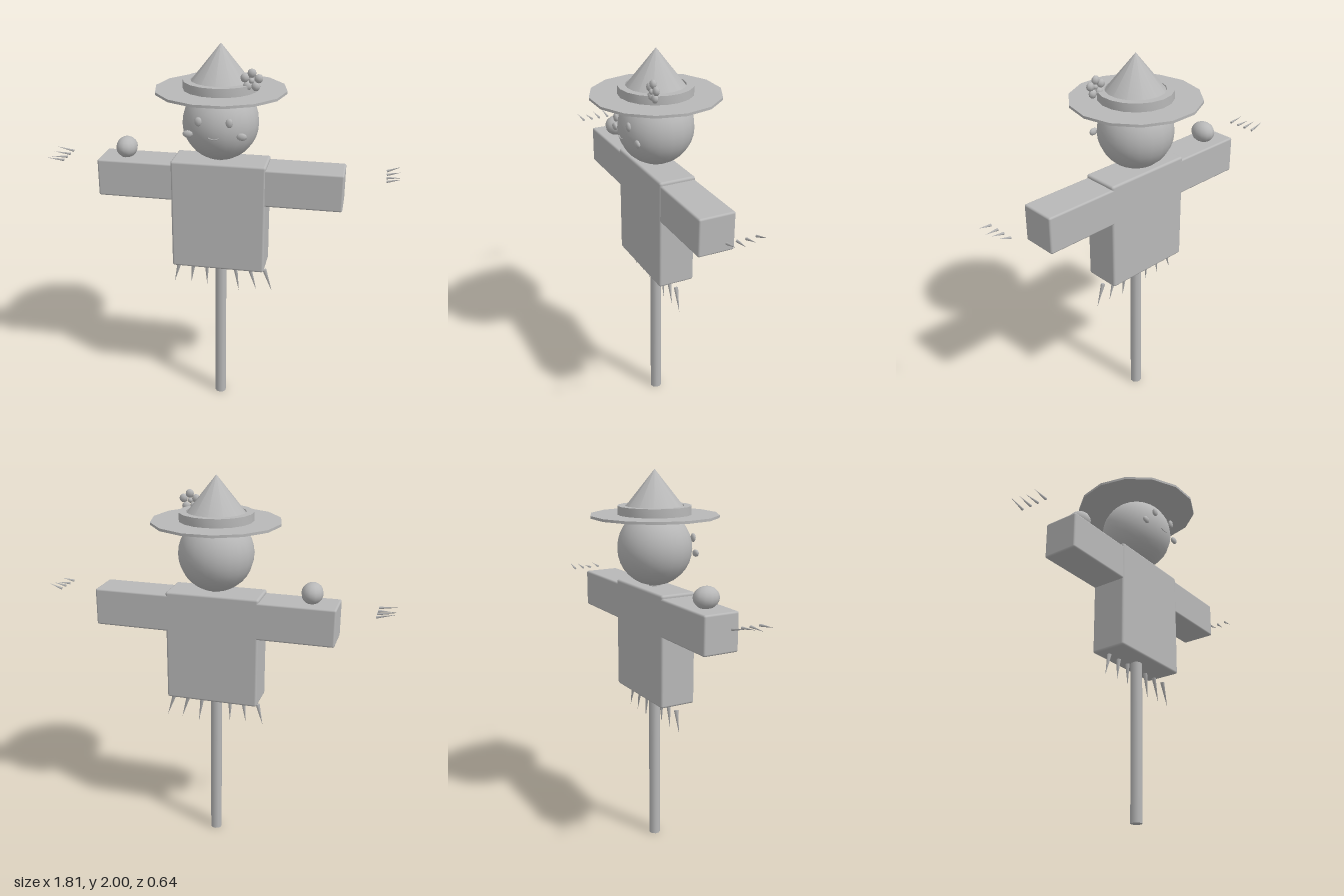
import * as THREE from 'three';
import { RoundedBoxGeometry } from 'three/addons/geometries/RoundedBoxGeometry.js';
import { toCreasedNormals } from 'three/addons/utils/BufferGeometryUtils.js';

export function createModel() {
  const model = new THREE.Group();
  model.name = 'scarecrow';
  const grey = new THREE.MeshStandardMaterial({ color: 0xb8b8b8 });
  grey.name = 'plain grey';

  const add = (name, geometry, x = 0, y = 0, z = 0, parent = model) => {
    const mesh = new THREE.Mesh(geometry, grey);
    mesh.name = name;
    mesh.position.set(x, y, z);
    parent.add(mesh);
    return mesh;
  };
  // Thin cone running from its wide root to its pointed tip
  const straw = (name, root, tip, radius) => {
    const a = new THREE.Vector3(...root), b = new THREE.Vector3(...tip);
    const dir = b.clone().sub(a);
    const mid = a.clone().add(b).multiplyScalar(0.5);
    const mesh = add(name, new THREE.ConeGeometry(radius, dir.length(), 5), mid.x, mid.y, mid.z);
    mesh.quaternion.setFromUnitVectors(new THREE.Vector3(0, 1, 0), dir.normalize());
  };

  // Post and clothed body
  add('post', new THREE.CylinderGeometry(0.03, 0.03, 1.42, 10), 0, 0.71, 0);
  add('torso', new RoundedBoxGeometry(0.488, 0.585, 0.194, 2, 0.012), 0, 1.122, 0);
  for (const s of [-1, 1]) {
    add(s > 0 ? 'leftSleeve' : 'rightSleeve',
      new RoundedBoxGeometry(0.43, 0.195, 0.19, 2, 0.01), s * 0.415, 1.3, -0.002);
  }

  // Head and face
  add('head', new THREE.SphereGeometry(0.192, 20, 16), 0, 1.61, 0);
  for (const s of [-1, 1]) {
    const side = s > 0 ? 'left' : 'right';
    add(side + 'Eye', new THREE.SphereGeometry(0.021, 7, 6), s * 0.076, 1.657, 0.182)
      .scale.set(0.9, 1.1, 0.55);
    add(side + 'Cheek', new THREE.SphereGeometry(0.026, 8, 6), s * 0.133, 1.587, 0.163)
      .scale.set(1, 0.72, 0.45);
  }
  const smile = new THREE.QuadraticBezierCurve3(
    new THREE.Vector3(-0.027, 1.58, 0.188),
    new THREE.Vector3(0, 1.567, 0.19),
    new THREE.Vector3(0.027, 1.58, 0.188));
  add('mouth', new THREE.TubeGeometry(smile, 8, 0.003, 5));

  // Hat: brim, ring band and pointed crown
  const brim = new THREE.CylinderGeometry(0.328, 0.328, 0.013, 14);
  brim.rotateY(Math.PI / 2);
  add('hatBrim', toCreasedNormals(brim, 0.7), 0, 1.772, 0);
  const ring = [[0.15, 0], [0.188, 0], [0.188, 0.044], [0.15, 0.044], [0.15, 0]]
    .map(p => new THREE.Vector2(...p));
  add('hatBand', toCreasedNormals(new THREE.LatheGeometry(ring, 18), 0.7), 0, 1.778, 0);
  add('hatCrown', new THREE.ConeGeometry(0.178, 0.222, 12), 0, 1.889, 0);

  // Flower on the hat
  const flower = new THREE.Group();
  flower.name = 'flower';
  flower.position.set(0.167, 1.847, 0.096);
  model.add(flower);
  for (let i = 0; i < 5; i++) {
    const a = i / 5 * Math.PI * 2 + 0.3;
    add('petal', new THREE.SphereGeometry(0.022, 7, 6),
      Math.cos(a) * 0.035, Math.sin(a) * 0.035, 0, flower).scale.z = 0.75;
  }
  add('flowerCentre', new THREE.SphereGeometry(0.014, 7, 6), 0, 0, 0.006, flower);

  // Round bird perched on the right sleeve
  add('bird', new THREE.SphereGeometry(0.055, 12, 10), -0.495, 1.445, -0.002).scale.z = 1.22;

  // Straw below the torso: root x, tip x, tip y
  for (const [x, tx, ty] of [[-0.228, -0.258, 0.685], [-0.15, -0.165, 0.685], [-0.076, -0.076, 0.685],
    [0.08, 0.1, 0.66], [0.158, 0.195, 0.675], [0.238, 0.28, 0.675]]) {
    straw('hemStraw', [x, 0.802, 0], [tx, ty, 0], 0.012);
  }
  // Straw beyond the sleeves
  [-0.078, -0.026, 0.02, 0.071].forEach((z, i) => {
    const rise = [0.018, 0.008, -0.004, 0.006][i];
    straw('rightHandStraw', [-0.818, 1.376, z], [-0.91, 1.378 + rise, z + 0.004], 0.007);
    straw('leftHandStraw', [0.832, 1.376, z], [0.9, 1.382 + rise, z - 0.004], 0.007);
  });
  return model;
}
